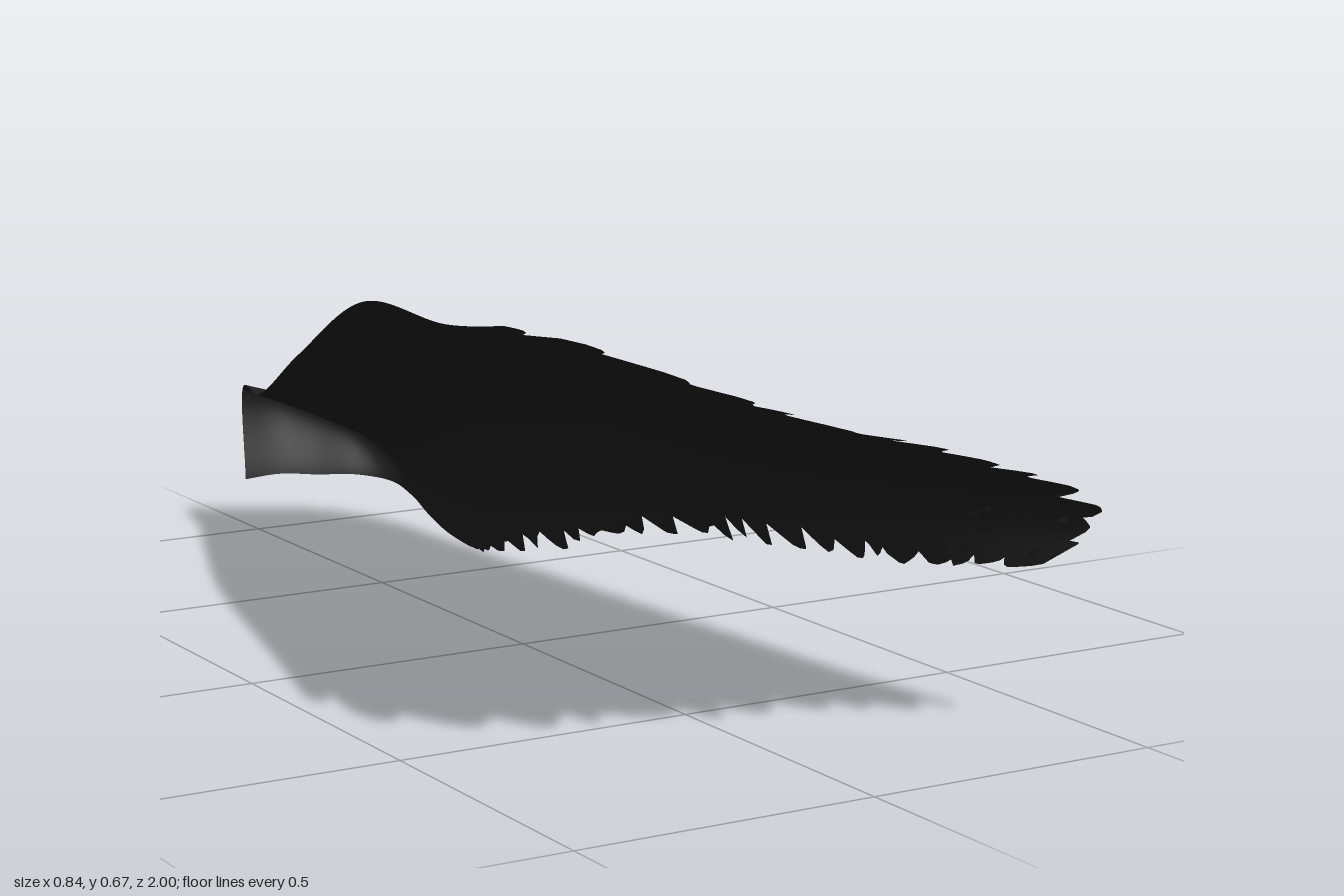
import * as THREE from 'three';

// Cross-sections of the cloth, from the rear hem to the torn front edge;
// each runs from the straight edge (-x) over the shoulder to the hanging edge (+x).
const SECTIONS = [
  [[-.04, .12, -.97], [.03, .124, -.965], [.1, .118, -.95], [.18, .112, -.935], [.238, .098, -.9], [.256, .075, -.85]],
  [[-.03, .288, -.998], [.04, .268, -.995], [.11, .235, -.97], [.19, .19, -.945], [.24, .135, -.89], [.26, .05, -.8]],
  [[-.06, .3, -.87], [.03, .262, -.87], [.11, .225, -.86], [.195, .18, -.84], [.25, .115, -.78], [.266, .025, -.72]],
  [[-.136, .43, -.55], [-.02, .362, -.55], [.08, .3, -.55], [.175, .23, -.55], [.252, .14, -.55], [.28, .015, -.57]],
  [[-.243, .595, -.1], [-.1, .518, -.1], [.05, .435, -.1], [.19, .348, -.1], [.285, .25, -.1], [.322, .14, -.1]],
  [[-.361, .64, .4], [-.2, .572, .4], [0, .487, .4], [.2, .403, .4], [.33, .31, .4], [.364, .2, .42]],
  [[-.456, .708, .82], [-.25, .622, .92], [-.03, .545, .95], [.22, .477, .98], [.415, .385, 1], [.39, .265, .87]],
];

function seeded(seed) {
  return () => {
    seed = (seed * 16807) % 2147483647;
    return seed / 2147483647;
  };
}

// Irregular row of torn teeth: returns the cut depth (0..1) at a position 0..1
function tornEdge(count, seed, lean) {
  const rnd = seeded(seed);
  const teeth = Array.from({ length: count }, () => ({
    width: .4 + rnd(), notch: .35 + .65 * rnd(), tip: .3 * rnd(),
  }));
  const total = teeth.reduce((sum, t) => sum + t.width, 0);
  return (p) => {
    let x = THREE.MathUtils.clamp(p, 0, .9999) * total;
    let k = 0;
    while (k < count - 1 && x > teeth[k].width) x -= teeth[k++].width;
    const { width, notch, tip } = teeth[k];
    const f = x / width;
    const rise = f < lean ? f / lean : (1 - f) / (1 - lean);
    return THREE.MathUtils.lerp(notch, tip, Math.min(1, rise * 1.4));
  };
}

function clothGeometry(nu, nv) {
  const curves = SECTIONS.map((s) => new THREE.CatmullRomCurve3(s.map((p) => new THREE.Vector3(...p))));
  const sideCut = tornEdge(26, 71, .85);
  const frontCut = tornEdge(14, 1933, .6);
  const positions = [];
  const indices = [];
  for (let j = 0; j <= nv; j++) {
    for (let i = 0; i <= nu; i++) {
      const u = i / nu;
      const v = j / nv;
      // Tears on the hanging edge start past the rear corner
      const ragged = THREE.MathUtils.smoothstep(v, .4, .55);
      const side = sideCut((v - .4) / .6);
      const s = u - .1 * ragged * side * Math.pow(u, 7);
      // Tears along the front edge, with the outer corner torn back further
      const corner = u < .045 ? .04 : 0;
      let t = v - (.035 * frontCut(u) + corner) * Math.pow(v, 10);
      // Hanging teeth lean forward
      t += .03 * ragged * (1 - side) * Math.pow(u, 16) * (1 - v);
      const along = new THREE.CatmullRomCurve3(curves.map((c) => c.getPoint(s)));
      positions.push(...along.getPoint(Math.min(t, 1)).toArray());
      if (i < nu && j < nv) {
        const a = j * (nu + 1) + i;
        const b = a + nu + 1;
        indices.push(a, b, a + 1, a + 1, b, b + 1);
      }
    }
  }
  const geometry = new THREE.BufferGeometry();
  geometry.setAttribute('position', new THREE.Float32BufferAttribute(positions, 3));
  geometry.setIndex(indices);
  geometry.computeVertexNormals();
  return geometry;
}

export function createModel() {
  const group = new THREE.Group();
  group.name = 'tornCloth';
  const black = new THREE.MeshStandardMaterial({ color: 0x1d1d1d, side: THREE.DoubleSide });
  black.name = 'black cloth';
  const cloth = new THREE.Mesh(clothGeometry(110, 200), black);
  cloth.name = 'clothSheet';
  group.add(cloth);
  return group;
}
